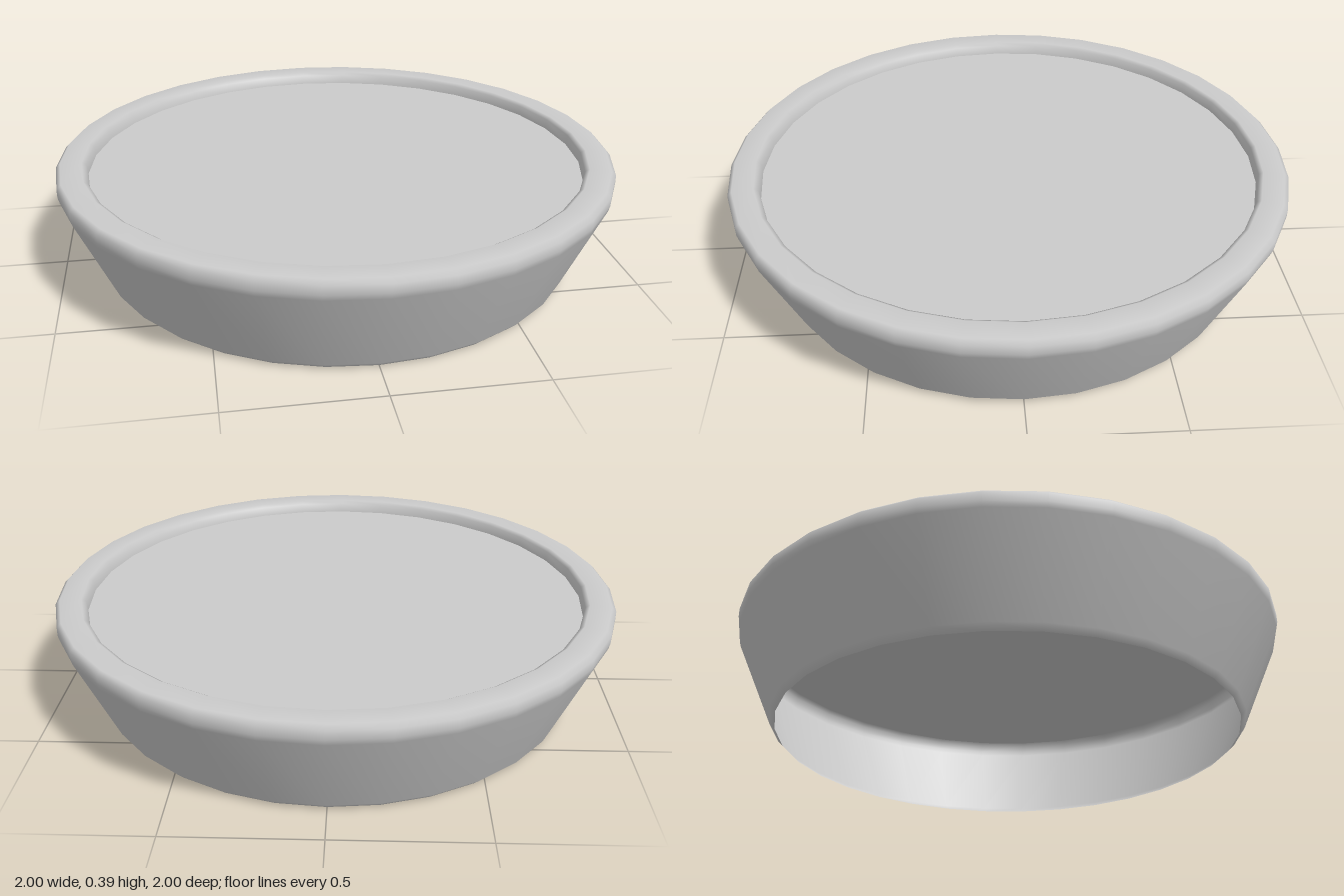
import * as THREE from 'three';

const SIDES = 32;

export function createModel() {
  const group = new THREE.Group();
  group.name = 'shallowDish';
  const material = new THREE.MeshStandardMaterial({ color: 0xcccccc, side: THREE.DoubleSide });

  // Thin flared wall, open below, rolling over a softened rim down to the recess
  const profile = [
    [0.84, 0], [0.86, 0.02], [0.995, 0.325], [1, 0.345], [1, 0.375], [0.985, 0.39],
    [0.91, 0.39], [0.895, 0.38], [0.89, 0.345],
  ].map(([r, y]) => new THREE.Vector2(r, y));
  const wall = new THREE.Mesh(new THREE.LatheGeometry(profile, SIDES), material);
  wall.name = 'wallAndRim';

  // Flat panel set just below the rim
  const panelGeometry = new THREE.CircleGeometry(0.89, SIDES);
  panelGeometry.rotateX(-Math.PI / 2).translate(0, 0.345, 0);
  const panel = new THREE.Mesh(panelGeometry, material);
  panel.name = 'recessedPanel';

  group.add(wall, panel);
  return group;
}
